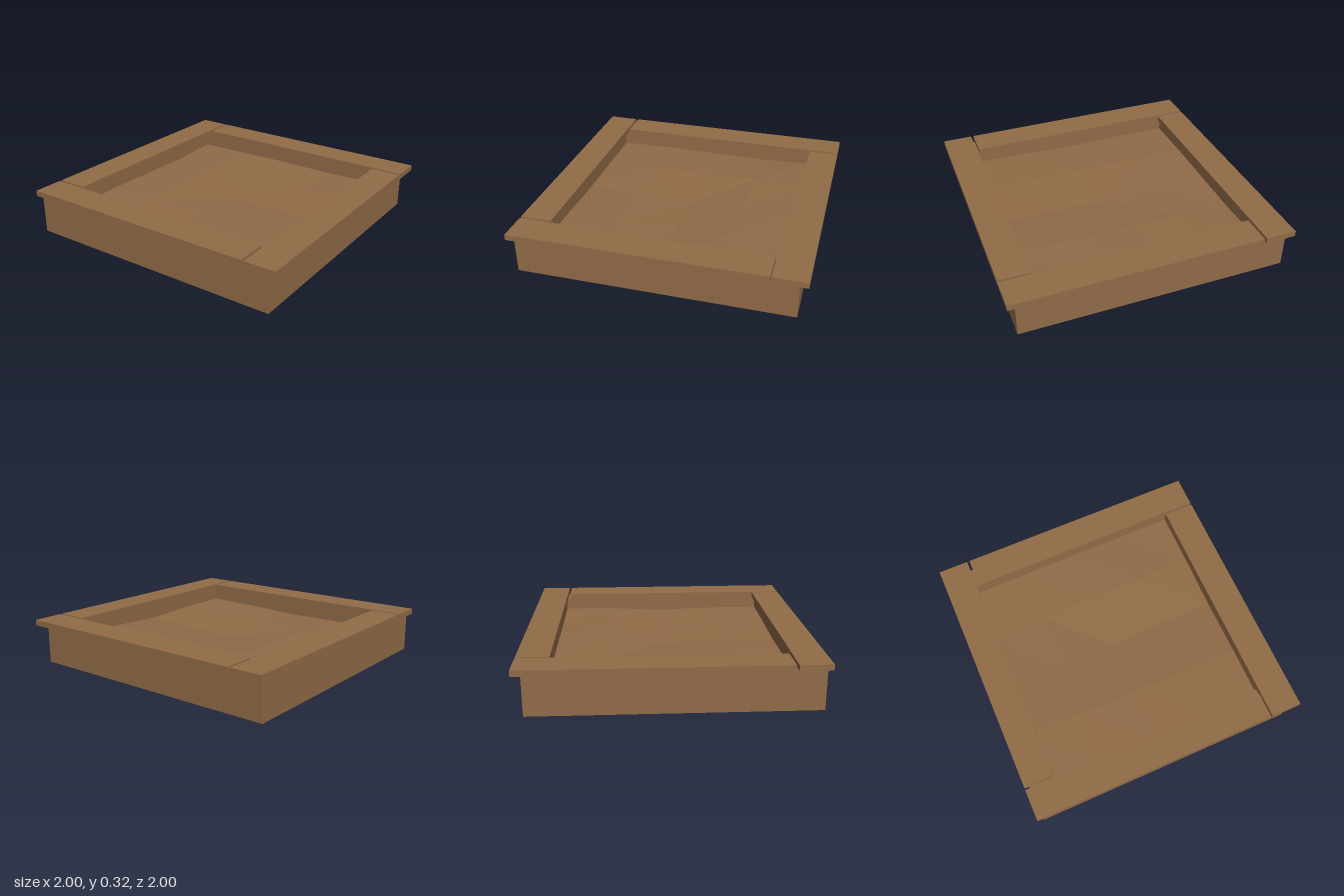
import * as THREE from 'three';

const wood = new THREE.MeshStandardMaterial({ color: 0x916b47 });
wood.name = 'brown';

// Box given by its minimum and maximum corners
function boxBetween(name, [x0, y0, z0], [x1, y1, z1]) {
  const mesh = new THREE.Mesh(new THREE.BoxGeometry(x1 - x0, y1 - y0, z1 - z0), wood);
  mesh.position.set((x0 + x1) / 2, (y0 + y1) / 2, (z0 + z1) / 2);
  mesh.name = name;
  return mesh;
}

// Closed rectangle, reversed when used as a hole
function rectangle(x0, y0, x1, y1) {
  return [[x0, y0], [x1, y0], [x1, y1], [x0, y1]].map(([x, y]) => new THREE.Vector2(x, y));
}

// Square wall ring, slightly off centre under the planks
function createWalls() {
  const shape = new THREE.Shape(rectangle(-0.97, -0.97, 0.94, 0.94));
  shape.holes.push(new THREE.Path(rectangle(-0.82, -0.81, 0.79, 0.79).reverse()));
  const geometry = new THREE.ExtrudeGeometry(shape, { depth: 0.28, bevelEnabled: false });
  geometry.rotateX(-Math.PI / 2);
  const walls = new THREE.Mesh(geometry, wood);
  walls.name = 'walls';
  return walls;
}

// Faceted, gently uneven surface with a hollow in the middle
function createSand() {
  const xs = [-0.83, -0.42, -0.01, 0.4, 0.8];
  const zs = [-0.8, -0.4, 0, 0.41, 0.82];
  const heights = [
    [0.18, 0.185, 0.19, 0.185, 0.195],
    [0.165, 0.185, 0.185, 0.19, 0.19],
    [0.17, 0.18, 0.15, 0.16, 0.17],
    [0.175, 0.185, 0.175, 0.18, 0.185],
    [0.17, 0.17, 0.165, 0.18, 0.185],
  ];
  const points = [];
  const point = (i, j) => [xs[i], heights[j][i], zs[j]];
  for (let j = 0; j < 4; j++) {
    for (let i = 0; i < 4; i++) {
      const a = point(i, j), b = point(i, j + 1), c = point(i + 1, j + 1), d = point(i + 1, j);
      // The two side quarters of the hollow are split the other way
      const flipped = (i === 1 && j === 2) || (i === 2 && j === 1);
      const corners = flipped ? [a, b, d, b, c, d] : [a, b, c, a, c, d];
      points.push(...corners.flat());
    }
  }
  const geometry = new THREE.BufferGeometry();
  geometry.setAttribute('position', new THREE.Float32BufferAttribute(points, 3));
  geometry.computeVertexNormals();
  const sand = new THREE.Mesh(geometry, wood);
  sand.name = 'sand';
  return sand;
}

export function createModel() {
  const group = new THREE.Group();
  group.name = 'sandbox';
  group.add(createWalls(), createSand());
  group.add(boxBetween('floor', [-0.82, 0, -0.79], [0.79, 0.04, 0.81]));

  // Four seat planks laid in a pinwheel with small gaps
  for (let i = 0; i < 4; i++) {
    const plank = boxBetween('seatPlank', [-1, 0.28, 0.78], [0.762, 0.32, 1]);
    const turn = new THREE.Group();
    turn.name = ['frontPlank', 'leftPlank', 'backPlank', 'rightPlank'][i];
    turn.rotation.y = (i * Math.PI) / 2;
    turn.add(plank);
    group.add(turn);
  }
  return group;
}
